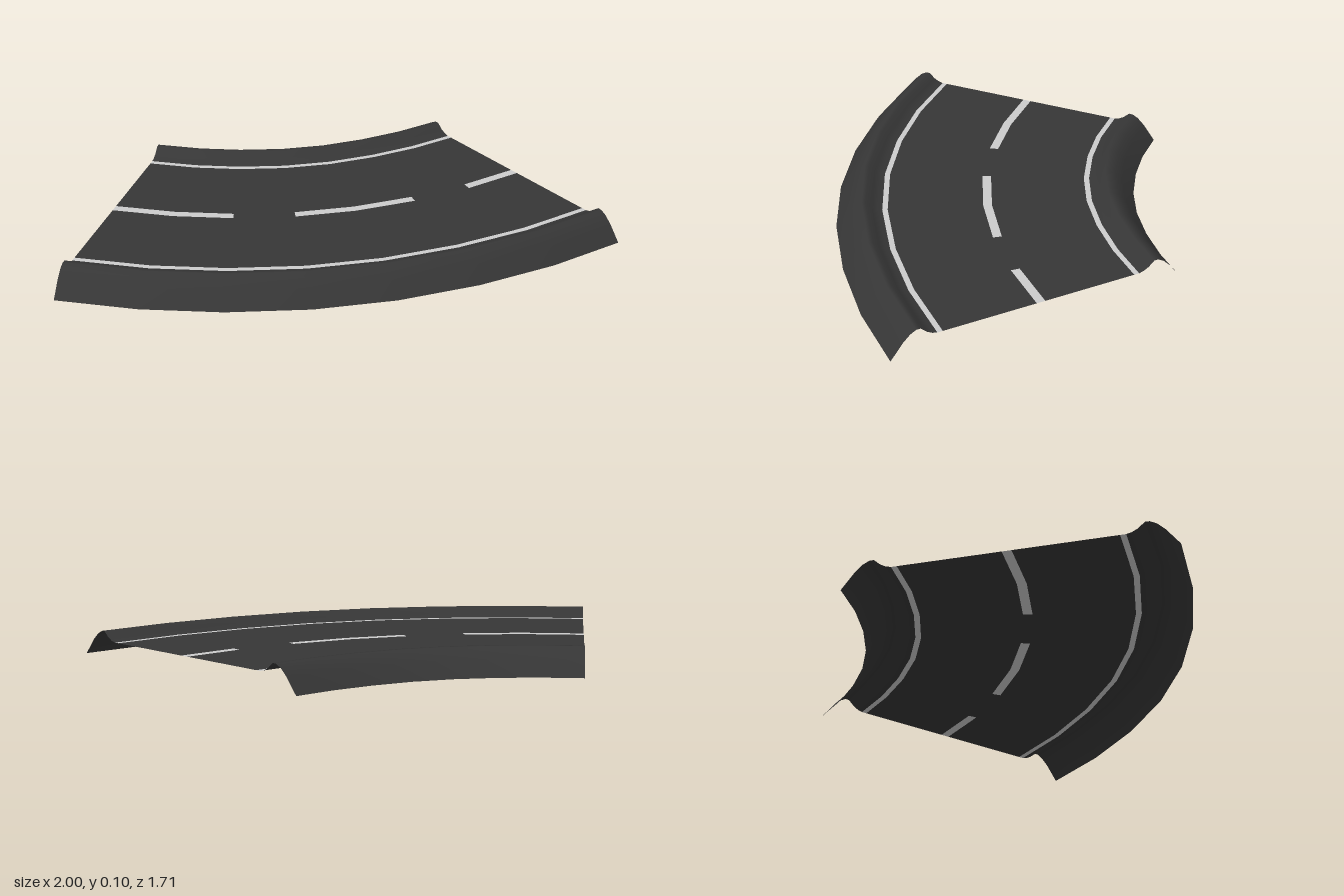
import * as THREE from 'three';

// Outer edge of the bend [x, z]; each station turns by an equal angle
const EDGE = [[-1, 0.853], [-0.67, 0.833], [-0.352, 0.773], [-0.04, 0.672],
  [0.253, 0.53], [0.53, 0.345], [0.78, 0.13], [1, -0.11]];
const SEGMENTS = EDGE.length - 1;
const TURN = THREE.MathUtils.degToRad(52.75);
const WIDTH = 1.232;
const ROAD_Y = 0.066;

// Kerb cross-section [distance from the edge, height]
const KERB = [[0, 0], [0.05, 0.063], [0.08, 0.091], [0.105, 0.104], [0.122, 0.104],
  [0.147, 0.082], [0.168, 0.071], [0.188, ROAD_Y]];

const asphalt = new THREE.MeshStandardMaterial({ color: 0x363636, side: THREE.DoubleSide });
const paint = new THREE.MeshStandardMaterial({ color: 0xcccccc, side: THREE.DoubleSide });

// Sweeps a cross-section along the bend between two stations
function sweep(profile, from = 0, to = SEGMENTS) {
  const positions = [], index = [], n = profile.length;
  for (let i = from; i <= to; i++) {
    const angle = TURN * i / SEGMENTS;
    const [x, z] = EDGE[i];
    for (const [d, y] of profile) {
      positions.push(x - d * Math.sin(angle), y, z - d * Math.cos(angle));
    }
  }
  for (let i = 0; i < to - from; i++) {
    for (let j = 0; j < n - 1; j++) {
      const a = i * n + j, b = a + n;
      index.push(a, b, a + 1, b, b + 1, a + 1);
    }
  }
  const geometry = new THREE.BufferGeometry();
  geometry.setAttribute('position', new THREE.Float32BufferAttribute(positions, 3));
  geometry.setIndex(index);
  geometry.computeVertexNormals();
  return geometry;
}

export function createModel() {
  const model = new THREE.Group();
  model.name = 'curvedRoad';

  const add = (name, material, profile, from, to) => {
    const mesh = new THREE.Mesh(sweep(profile, from, to), material);
    mesh.name = name;
    model.add(mesh);
  };
  const flat = (d0, d1) => [[d0, ROAD_Y], [d1, ROAD_Y]];

  // Raised kerbs, the inner one mirrored
  add('outerKerb', asphalt, KERB);
  add('innerKerb', asphalt, KERB.map(([d, y]) => [WIDTH - d, y]).reverse());

  // Edge lines
  const lineIn = 0.188, lineOut = 0.21;
  add('outerEdgeLine', paint, flat(lineIn, lineOut));
  add('innerEdgeLine', paint, flat(WIDTH - lineOut, WIDTH - lineIn));

  // Lanes on either side of the centre strip
  const c0 = 0.598, c1 = 0.634;
  add('outerLane', asphalt, flat(lineOut, c0));
  add('innerLane', asphalt, flat(c1, WIDTH - lineOut));

  // Centre strip: painted dashes with asphalt gaps
  for (const [from, to] of [[0, 2], [3, 5], [6, 7]]) add('centreDash', paint, flat(c0, c1), from, to);
  for (const from of [2, 5]) add('centreGap', asphalt, flat(c0, c1), from, from + 1);

  return model;
}
